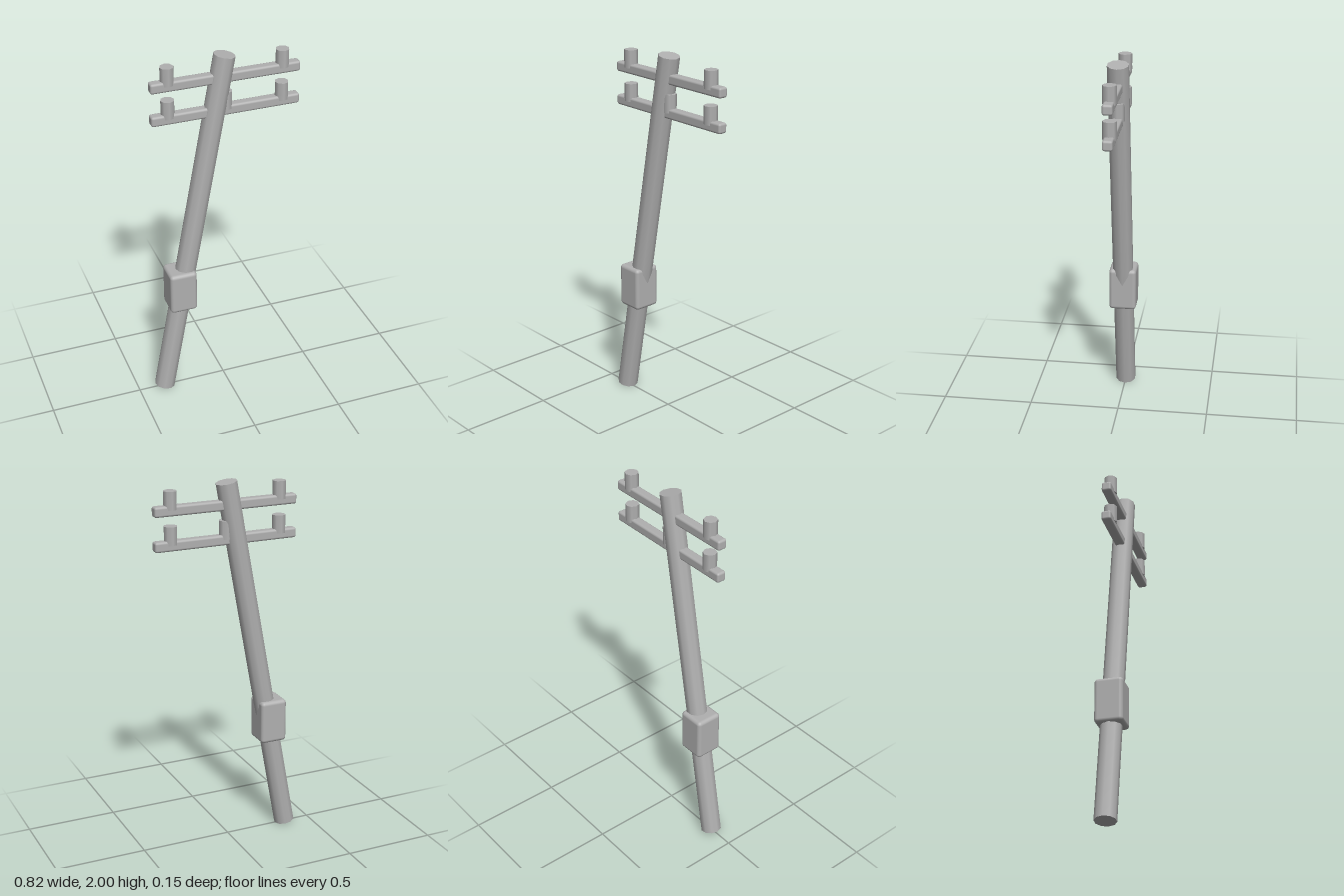
import * as THREE from 'three';
import { RoundedBoxGeometry } from 'three/addons/geometries/RoundedBoxGeometry.js';

export function createModel() {
  const model = new THREE.Group();
  model.name = 'utilityPole';
  const grey = new THREE.MeshStandardMaterial({ color: 0xb0b0b0 });
  grey.name = 'plain grey';

  function add(name, geometry, x, y, z = -0.001) {
    const mesh = new THREE.Mesh(geometry, grey);
    mesh.name = name;
    mesh.position.set(x, y, z);
    model.add(mesh);
    return mesh;
  }

  // Leaning ten-sided pole, with corners facing left and right
  const poleGeometry = new THREE.CylinderGeometry(0.057, 0.057, 2.012, 10);
  poleGeometry.rotateY(Math.PI / 2);
  add('pole', poleGeometry, -0.172, 1).rotation.z = -THREE.MathUtils.degToRad(10.3);

  // Softly rounded equipment box around the lower pole
  add('equipmentBox', new RoundedBoxGeometry(0.15, 0.24, 0.15, 3, 0.02), -0.247, 0.655);

  // Two level crossarms, each carrying three insulators
  const armGeometry = new RoundedBoxGeometry(0.793, 0.054, 0.053, 2, 0.012);
  const insulatorGeometry = new THREE.CylinderGeometry(0.036, 0.036, 0.096, 8);
  for (const [level, y] of [['upper', 1.872], ['lower', 1.692]]) {
    add(level + 'Crossarm', armGeometry, 0.012, y);
    for (const [place, offset] of [['Right', -0.305], ['Middle', 0], ['Left', 0.305]]) {
      add(level + place + 'Insulator', insulatorGeometry, 0.012 + offset, y + 0.053);
    }
  }
  return model;
}
